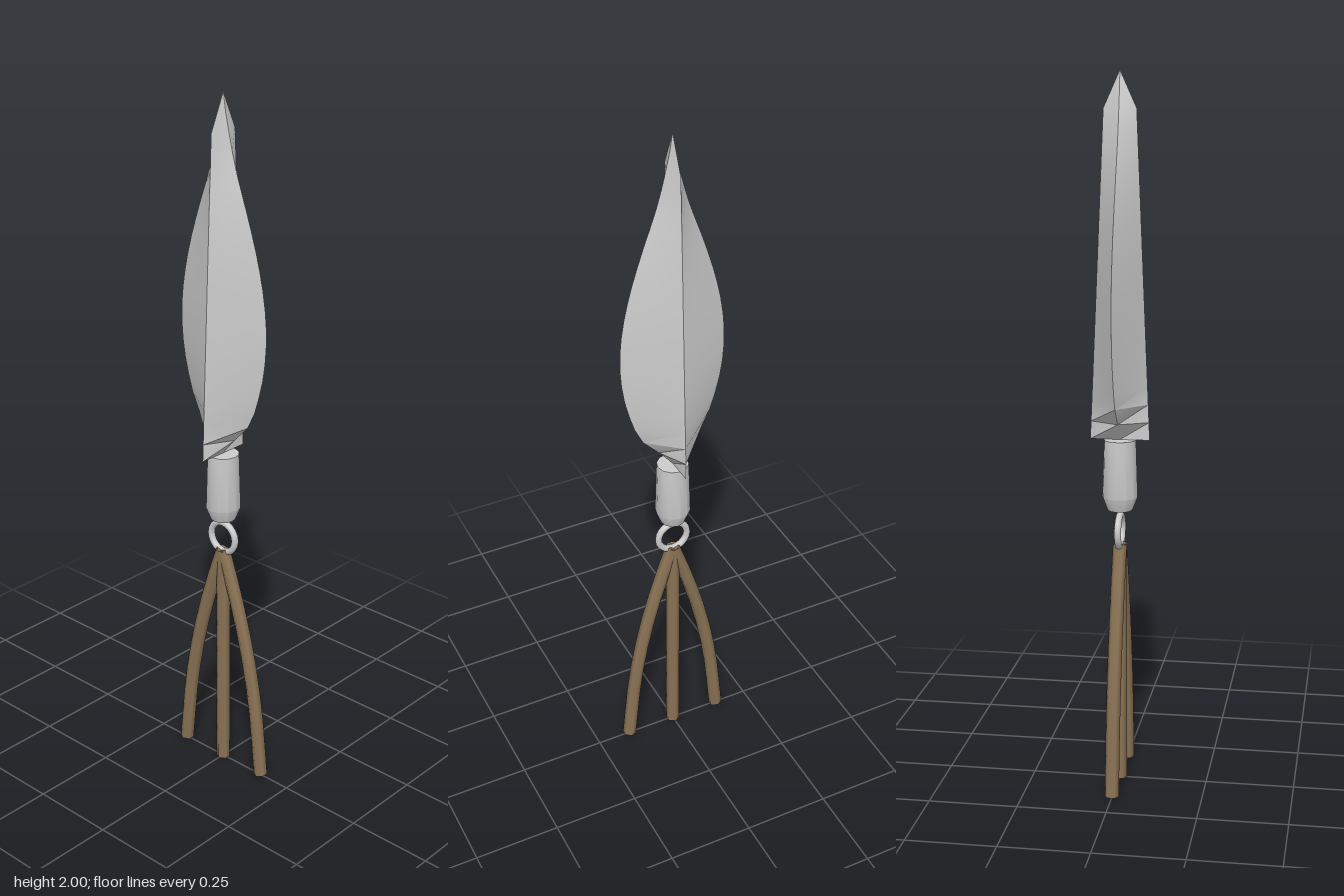
import * as THREE from 'three';
import { toCreasedNormals } from 'three/addons/utils/BufferGeometryUtils.js';

const metal = new THREE.MeshStandardMaterial({ color: 0xcccccc });
const leather = new THREE.MeshStandardMaterial({ color: 0x8b7355 });

function addMesh(parent, name, geometry, material) {
  const mesh = new THREE.Mesh(geometry, material);
  mesh.name = name;
  parent.add(mesh);
  return mesh;
}

// Leaf-shaped blade with a diamond section: a four-sided tube reshaped row by row
function bladeGeometry() {
  const rows = 20;
  const halfWidths = [0, 0.09, 0.13, 0.15, 0.153, 0.14, 0.115, 0.082, 0.046, 0.019, 0];
  const outline = new THREE.SplineCurve(halfWidths.map((w, i) => new THREE.Vector2(w, i / 10)));
  const geometry = new THREE.CylinderGeometry(1, 1, 1, 4, rows, true);
  const pos = geometry.attributes.position;
  for (let i = 0; i < pos.count; i++) {
    const t = pos.getY(i) + 0.5;
    const width = Math.max(0, outline.getPoint(t).x);
    const depth = t <= 0.9 ? 0.083 - 0.042 * t : 0.0452 * (1 - t) / 0.1;
    pos.setXYZ(i, pos.getX(i) * width, 1 + t, pos.getZ(i) * depth);
  }
  return toCreasedNormals(geometry, 0.5);
}

// Hanging cord with flat caps on both ends
function addCord(parent, name, points) {
  const radius = 0.02, sides = 6;
  const curve = new THREE.CatmullRomCurve3(points.map(([x, y]) => new THREE.Vector3(x, y, 0)));
  const cord = new THREE.Group();
  cord.name = name;
  addMesh(cord, 'cordStrand', new THREE.TubeGeometry(curve, 8, radius, sides), leather);
  for (const end of [0, 1]) {
    const cap = addMesh(cord, 'cordCap', new THREE.CircleGeometry(radius, sides), leather);
    const outward = curve.getTangentAt(end).multiplyScalar(end ? 1 : -1);
    cap.position.copy(curve.getPointAt(end));
    cap.quaternion.setFromUnitVectors(new THREE.Vector3(0, 0, 1), outward);
  }
  parent.add(cord);
}

export function createModel() {
  const model = new THREE.Group();
  model.name = 'bladePendant';

  addMesh(model, 'blade', bladeGeometry(), metal);

  // Socket below the blade, tapering at its lower end
  const profile = [[0, 0.8], [0.035, 0.8], [0.05, 0.838], [0.045, 1], [0, 1]];
  const socket = new THREE.LatheGeometry(profile.map(([r, y]) => new THREE.Vector2(r, y)), 12);
  addMesh(model, 'socket', toCreasedNormals(socket, 0.55), metal);

  // Ring that carries the cords
  addMesh(model, 'ring', new THREE.TorusGeometry(0.045, 0.01, 8, 20), metal).position.y = 0.74;

  // Three cords: one straight, two curving outwards
  addCord(model, 'middleCord', [[0, 0.7], [0, 0.35], [0, 0.005]]);
  for (const [name, s] of [['leftCord', 1], ['rightCord', -1]]) {
    addCord(model, name, [[0, 0.7], [0.045, 0.57], [0.09, 0.41], [0.125, 0.23], [0.149, 0.008]]
      .map(([x, y]) => [s * x, y]));
  }
  return model;
}
